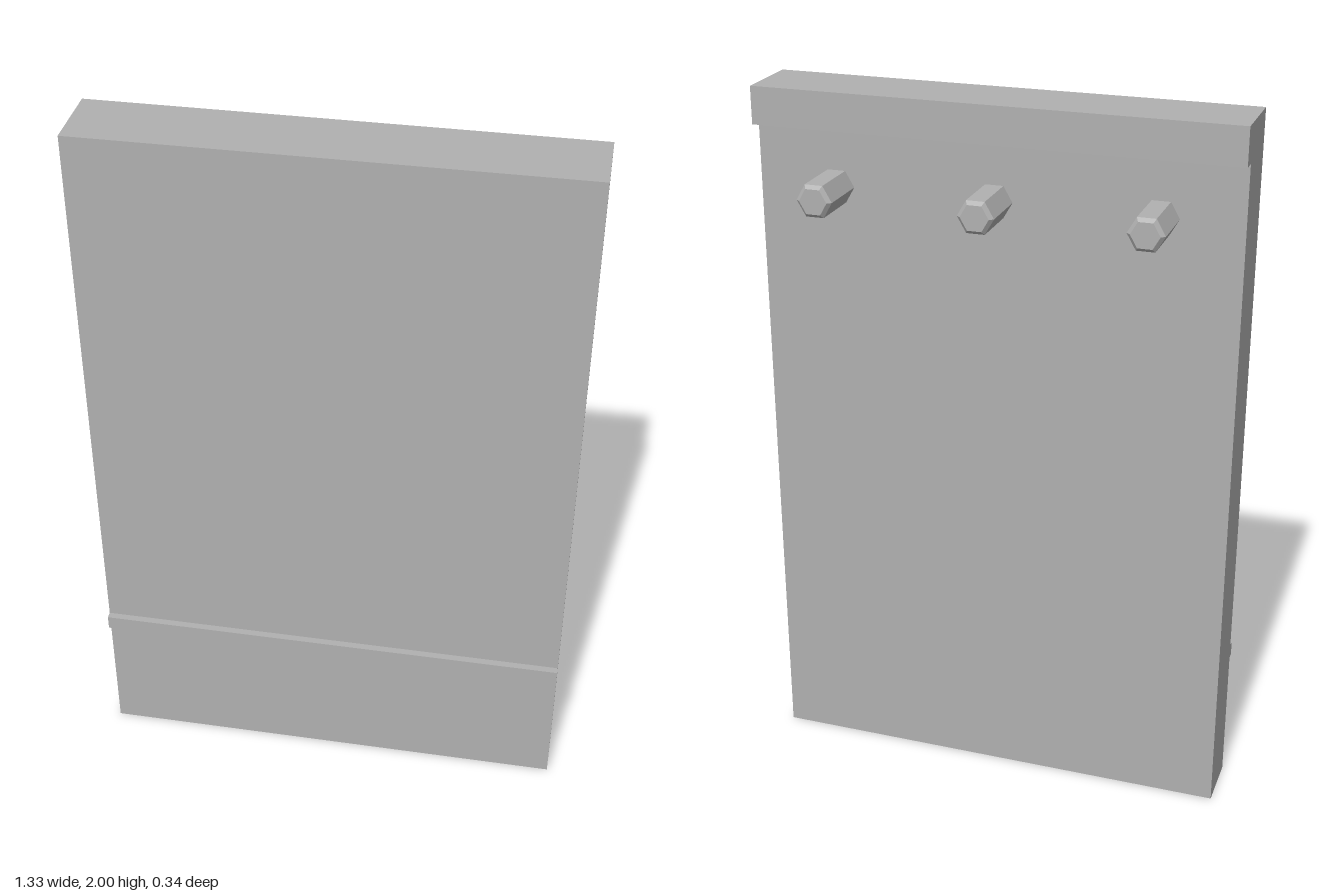
import * as THREE from 'three';

export function createModel() {
  const model = new THREE.Group();
  const grey = new THREE.MeshStandardMaterial({ color: 0xb0b0b0 });
  const halfWidth = 0.666;

  // Slab with a lip along the top of the back: side profile (z, y) extruded across x
  const profile = new THREE.Shape([
    [0.152, 0], [0.152, 2], [-0.052, 2], [-0.052, 1.897], [-0.012, 1.897], [-0.012, 0],
  ].map(([z, y]) => new THREE.Vector2(-z, y)));
  const slab = new THREE.ExtrudeGeometry(profile, { depth: 2 * halfWidth, bevelEnabled: false });
  slab.translate(0, 0, -halfWidth).rotateY(Math.PI / 2);
  const panel = new THREE.Mesh(slab, grey);
  panel.name = 'panelWithLip';
  model.add(panel);

  // Narrow raised strip across the front
  const strip = new THREE.Mesh(new THREE.BoxGeometry(2 * halfWidth, 0.042, 0.02), grey);
  strip.name = 'frontStrip';
  strip.position.set(0, 0.406, 0.162);
  model.add(strip);

  // Three six-sided pegs with chamfered ends, pointing backwards
  const pegProfile = [[0.05, 0], [0.05, 0.15], [0.039, 0.16], [0, 0.16]]
    .map(([r, y]) => new THREE.Vector2(r, y));
  const pegGeometry = new THREE.LatheGeometry(pegProfile, 6, Math.PI / 6).toNonIndexed();
  pegGeometry.rotateX(-Math.PI / 2);
  pegGeometry.computeVertexNormals();
  ['rightPeg', 'middlePeg', 'leftPeg'].forEach((name, i) => {
    const peg = new THREE.Mesh(pegGeometry, grey);
    peg.name = name;
    peg.position.set((i - 1) * 0.445, 1.738, -0.012);
    model.add(peg);
  });

  return model;
}
